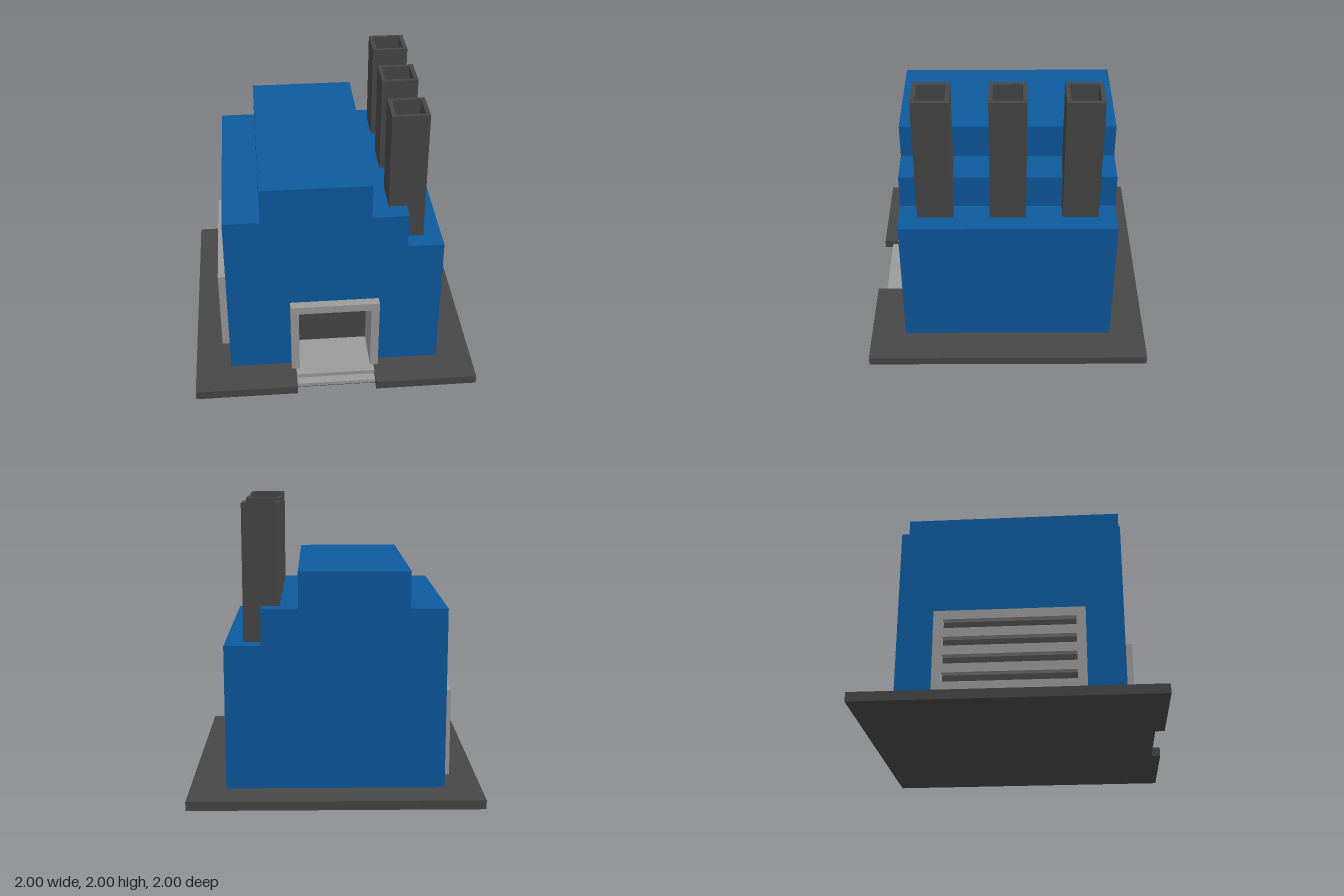
import * as THREE from 'three';

const blue = new THREE.MeshStandardMaterial({ color: 0x0d5ba0 });
blue.name = 'blue walls';
const dark = new THREE.MeshStandardMaterial({ color: 0x474747 });
dark.name = 'dark grey';
const grey = new THREE.MeshStandardMaterial({ color: 0x9b9b9b });
grey.name = 'light grey';

const G = 0.0625; // ground level on top of the base

function shapeOf(points) {
  return new THREE.Shape(points.map(([x, y]) => new THREE.Vector2(x, y)));
}

function rect(x0, y0, x1, y1) {
  return [[x0, y0], [x1, y0], [x1, y1], [x0, y1]];
}

function extrude(name, shape, z0, z1, material) {
  const geometry = new THREE.ExtrudeGeometry(shape, { depth: z1 - z0, bevelEnabled: false });
  geometry.translate(0, 0, z0);
  const mesh = new THREE.Mesh(geometry, material);
  mesh.name = name;
  return mesh;
}

// Box given by its lower and upper corners
function box(name, [x0, y0, z0], [x1, y1, z1], material) {
  const mesh = new THREE.Mesh(new THREE.BoxGeometry(x1 - x0, y1 - y0, z1 - z0), material);
  mesh.position.set((x0 + x1) / 2, (y0 + y1) / 2, (z0 + z1) / 2);
  mesh.name = name;
  return mesh;
}

export function createModel() {
  const model = new THREE.Group();
  model.name = 'factory';

  // Base slab with a slot for the entrance steps
  const slab = extrude('base', shapeOf([
    [-1, -1], [-0.28, -1], [-0.28, -0.5], [0.28, -0.5],
    [0.28, -1], [1, -1], [1, 1], [-1, 1],
  ]), 0, G, dark);
  slab.rotation.x = -Math.PI / 2;
  model.add(slab);
  model.add(box('baseUnderside', [-0.28, 0, 0.5], [0.28, 0.004, 0.9375], dark));

  // Entrance floor and steps
  model.add(box('entranceFloor', [-0.28, 0.004, 0.5], [0.28, G, 0.875], grey));
  model.add(box('lowerStep', [-0.28, 0.004, 0.875], [0.28, 0.031, 0.9375], grey));

  // Stepped building: solid rear, front part with the doorway cut out
  const outline = [
    [0.75, G], [0.75, 1.0625], [0.5, 1.0625], [0.5, 1.3125], [0.25, 1.3125], [0.25, 1.5625],
    [-0.5, 1.5625], [-0.5, 1.3125], [-0.75, 1.3125], [-0.75, G],
  ];
  const doorway = [[-0.3125, G], [-0.3125, 0.625], [0.3125, 0.625], [0.3125, G]];
  model.add(extrude('buildingRear', shapeOf(outline), -0.75, 0.5, blue));
  model.add(extrude('buildingFront', shapeOf([...outline, ...doorway]), 0.5, 0.75, blue));

  // Door frame lining the recess, with a dark back wall
  model.add(extrude('doorFrame', shapeOf([
    ...doorway, [0.255, G], [0.255, 0.567], [-0.255, 0.567], [-0.255, G],
  ]), 0.5, 0.8125, grey));
  model.add(box('recessBack', [-0.255, G, 0.499], [0.255, 0.567, 0.506], dark));

  // Side vent: posts, top rail and four slats over a dark plate
  const vent = new THREE.Group();
  vent.name = 'sideVent';
  const xo = -0.8125, xi = -0.75;
  for (const z of [-0.5, 0.4375]) {
    vent.add(box('ventPost', [xo, G, z], [xi, 0.6875, z + 0.0625], grey));
  }
  for (let i = 0; i < 5; i++) {
    const y = 0.125 * (i + 1);
    vent.add(box(i === 4 ? 'ventTopRail' : 'ventSlat',
      [xo, y, -0.4375], [xi, y + 0.0625, 0.4375], grey));
  }
  vent.add(box('ventBack', [-0.756, G, -0.4375], [-0.749, 0.6875, 0.4375], dark));
  model.add(vent);

  // Three hollow square chimneys
  for (const z of [-0.5, 0, 0.5]) {
    const ring = shapeOf(rect(-0.125, -0.125, 0.125, 0.125));
    ring.holes.push(shapeOf(rect(-0.097, -0.097, 0.097, 0.097)));
    const chimney = extrude('chimney', ring, 0, 2 - 1.0625, dark);
    chimney.rotation.x = -Math.PI / 2;
    chimney.position.set(0.5, 1.0625, z);
    model.add(chimney);
  }

  return model;
}
